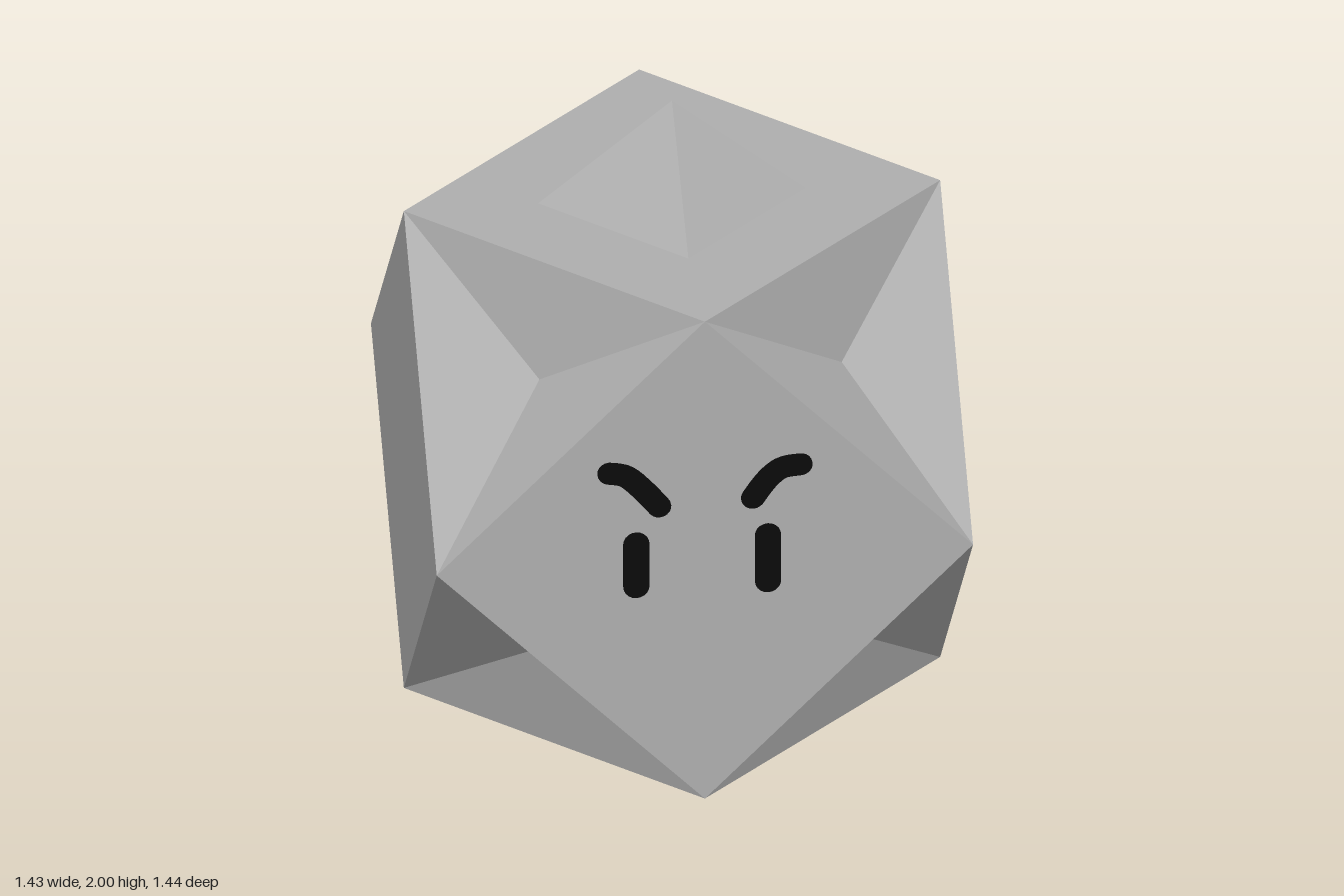
import * as THREE from 'three';

const A = 0.715;      // half width of the body
const DENT = 0.403;   // position of the dent tips along each axis
const SPIKE = 0.357;  // half diagonal of the spike base

// Flat-shaded mesh from triangles, each turned to face away from the origin
function facetMesh(name, triangles, material) {
  const points = [];
  for (const [a, b, c] of triangles) {
    const normal = b.clone().sub(a).cross(c.clone().sub(a));
    const middle = a.clone().add(b).add(c);
    points.push(...(normal.dot(middle) < 0 ? [a, c, b] : [a, b, c]));
  }
  const geometry = new THREE.BufferGeometry().setFromPoints(points);
  geometry.computeVertexNormals();
  const mesh = new THREE.Mesh(geometry, material);
  mesh.name = name;
  return mesh;
}

// Thin round-ended brush stroke along a 2D path
function stroke(name, path, radius, material) {
  const pts = path.map(([x, y]) => new THREE.Vector2(x, y));
  const curve = new THREE.SplineCurve(pts);
  const steps = pts.length > 2 ? 14 : 1;
  const left = [], right = [];
  for (let i = 0; i <= steps; i++) {
    const p = curve.getPoint(i / steps), t = curve.getTangent(i / steps);
    const n = new THREE.Vector2(-t.y, t.x).multiplyScalar(radius);
    left.push(p.clone().add(n));
    right.push(p.clone().sub(n));
  }
  const cap = (p, t) => {
    const start = Math.atan2(t.y, t.x) - Math.PI / 2;
    return Array.from({ length: 9 }, (_, k) => {
      const a = start + (k + 1) * Math.PI / 10;
      return new THREE.Vector2(p.x + radius * Math.cos(a), p.y + radius * Math.sin(a));
    });
  };
  const outline = [
    ...right, ...cap(curve.getPoint(1), curve.getTangent(1)),
    ...left.reverse(), ...cap(curve.getPoint(0), curve.getTangent(0).negate()),
  ];
  const geometry = new THREE.ExtrudeGeometry(new THREE.Shape(outline), { depth: 0.004, bevelEnabled: false });
  const mesh = new THREE.Mesh(geometry, material);
  mesh.name = name;
  return mesh;
}

export function createModel() {
  const stone = new THREE.MeshStandardMaterial({ color: 0xaeaeae });
  stone.name = 'grey stone';
  const ink = new THREE.MeshStandardMaterial({ color: 0x0a0a0a });
  ink.name = 'black ink';

  const model = new THREE.Group();
  model.name = 'facetedStone';
  const V = (x, y, z) => new THREE.Vector3(x, y, z);
  const body = [];

  // Six diamond faces
  for (let axis = 0; axis < 3; axis++) {
    for (const s of [-1, 1]) {
      const corners = [[A, 0], [0, A], [-A, 0], [0, -A]].map(([u, v]) => {
        const p = V();
        p.setComponent(axis, s * A);
        p.setComponent((axis + 1) % 3, u);
        p.setComponent((axis + 2) % 3, v);
        return p;
      });
      body.push([corners[0], corners[1], corners[2]], [corners[0], corners[2], corners[3]]);
    }
  }

  // Eight triangular corners sunk into three-sided dents
  for (const x of [-1, 1]) for (const y of [-1, 1]) for (const z of [-1, 1]) {
    const tip = V(x * DENT, y * DENT, z * DENT);
    const rim = [V(x * A, y * A, 0), V(0, y * A, z * A), V(x * A, 0, z * A)];
    rim.forEach((p, i) => body.push([p, rim[(i + 1) % 3], tip]));
  }
  model.add(facetMesh('body', body, stone));

  // Four-sided spikes above and below
  for (const s of [1, -1]) {
    const base = [V(SPIKE, s * A, 0), V(0, s * A, SPIKE), V(-SPIKE, s * A, 0), V(0, s * A, -SPIKE)];
    const sides = base.map((p, i) => [p, base[(i + 1) % 4], V(0, s, 0)]);
    model.add(facetMesh(s > 0 ? 'topSpike' : 'bottomSpike', sides, stone));
  }

  // Painted face on the front
  const face = new THREE.Group();
  face.name = 'face';
  face.add(
    stroke('rightEye', [[-0.183, 0.06], [-0.183, -0.065]], 0.035, ink),
    stroke('leftEye', [[0.168, 0.065], [0.168, -0.07]], 0.035, ink),
    stroke('rightBrow', [[-0.255, 0.277], [-0.21, 0.265], [-0.165, 0.222], [-0.122, 0.17]], 0.032, ink),
    stroke('leftBrow', [[0.255, 0.272], [0.205, 0.265], [0.165, 0.232], [0.128, 0.18]], 0.032, ink),
  );
  face.position.z = A;
  model.add(face);

  // Painted cross on the back
  const cross = new THREE.Group();
  cross.name = 'backCross';
  cross.add(
    stroke('fallingStroke', [[-0.265, 0.29], [0.285, -0.29]], 0.04, ink),
    stroke('risingStroke', [[-0.265, -0.295], [0.285, 0.29]], 0.04, ink),
  );
  cross.rotation.y = Math.PI;
  cross.position.z = -A;
  model.add(cross);

  model.position.y = 1;
  const root = new THREE.Group();
  root.add(model);
  return root;
}
